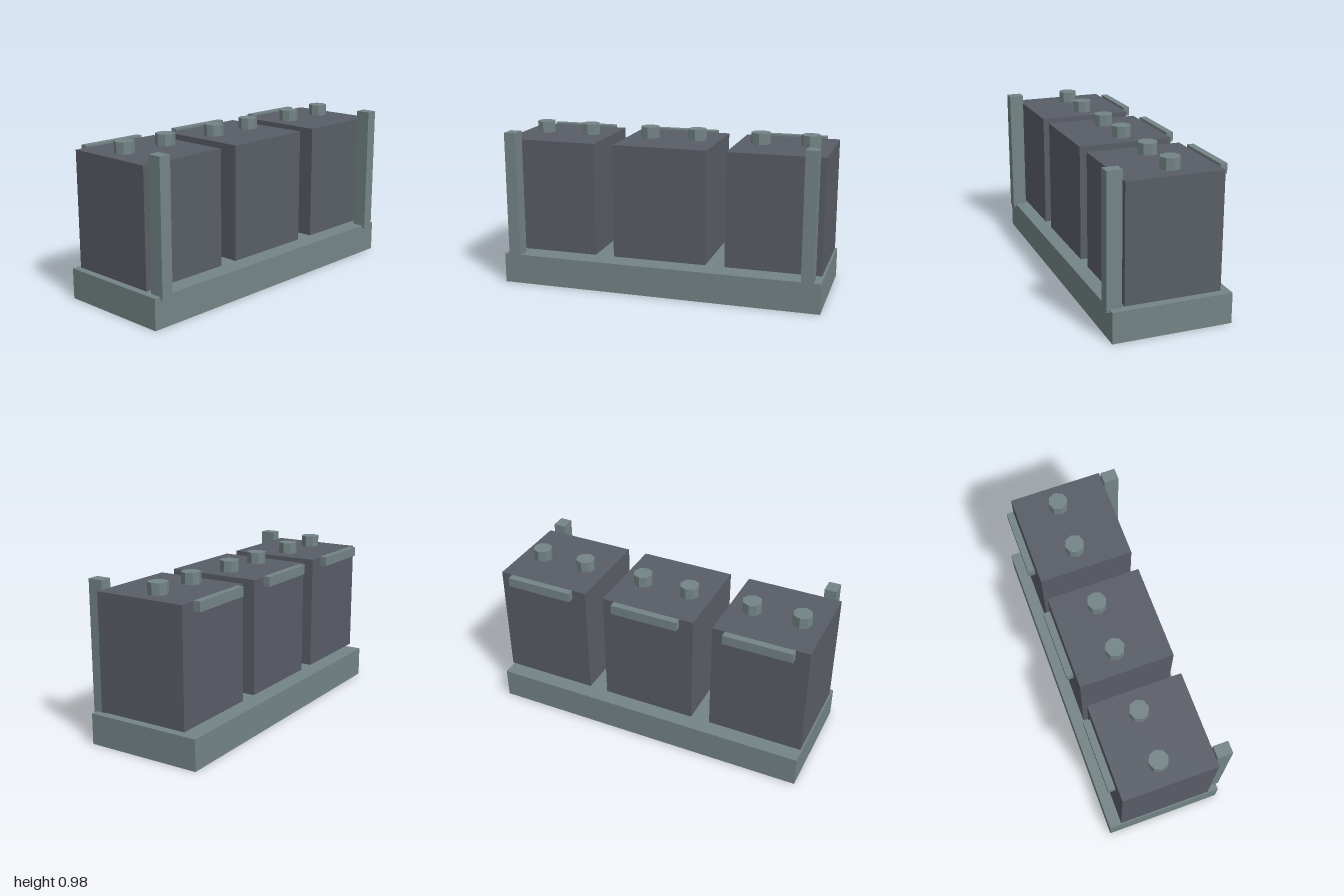
import * as THREE from 'three';

export function createModel() {
  const model = new THREE.Group();
  const metal = new THREE.MeshStandardMaterial({ name: 'grey green metal', color: 0x748486 });
  const casing = new THREE.MeshStandardMaterial({ name: 'dark grey casing', color: 0x595d66 });
  metal.flatShading = true;

  // Box given by its minimum and maximum corners
  function box(name, material, [x0, y0, z0], [x1, y1, z1], parent = model) {
    const mesh = new THREE.Mesh(new THREE.BoxGeometry(x1 - x0, y1 - y0, z1 - z0), material);
    mesh.position.set((x0 + x1) / 2, (y0 + y1) / 2, (z0 + z1) / 2);
    mesh.name = name;
    parent.add(mesh);
  }

  // Tray
  box('baseTray', metal, [-1, 0, -0.37], [1, 0.187, 0.352]);

  // Three cells, each with two octagonal terminals and a rear bar
  const terminalGeometry = new THREE.CylinderGeometry(0.059, 0.059, 0.07, 8);
  [-0.704, -0.001, 0.702].forEach((x, i) => {
    const cell = new THREE.Group();
    cell.name = `cell${i + 1}`;
    cell.position.x = x;
    box('casing', casing, [-0.292, 0.21, -0.296], [0.292, 0.912, 0.28], cell);
    box('rearBar', metal, [-0.21, 0.863, -0.35], [0.21, 0.921, -0.308], cell);
    for (const side of [-1, 1]) {
      const terminal = new THREE.Mesh(terminalGeometry, metal);
      terminal.name = side < 0 ? 'rightTerminal' : 'leftTerminal';
      terminal.position.set(side * 0.153, 0.946, -0.034);
      cell.add(terminal);
    }
    model.add(cell);
  });

  // Upright posts at the front corners
  box('rightPost', metal, [-0.96, 0.17, 0.278], [-0.886, 0.967, 0.37]);
  box('leftPost', metal, [0.884, 0.17, 0.278], [0.958, 0.967, 0.37]);

  return model;
}
